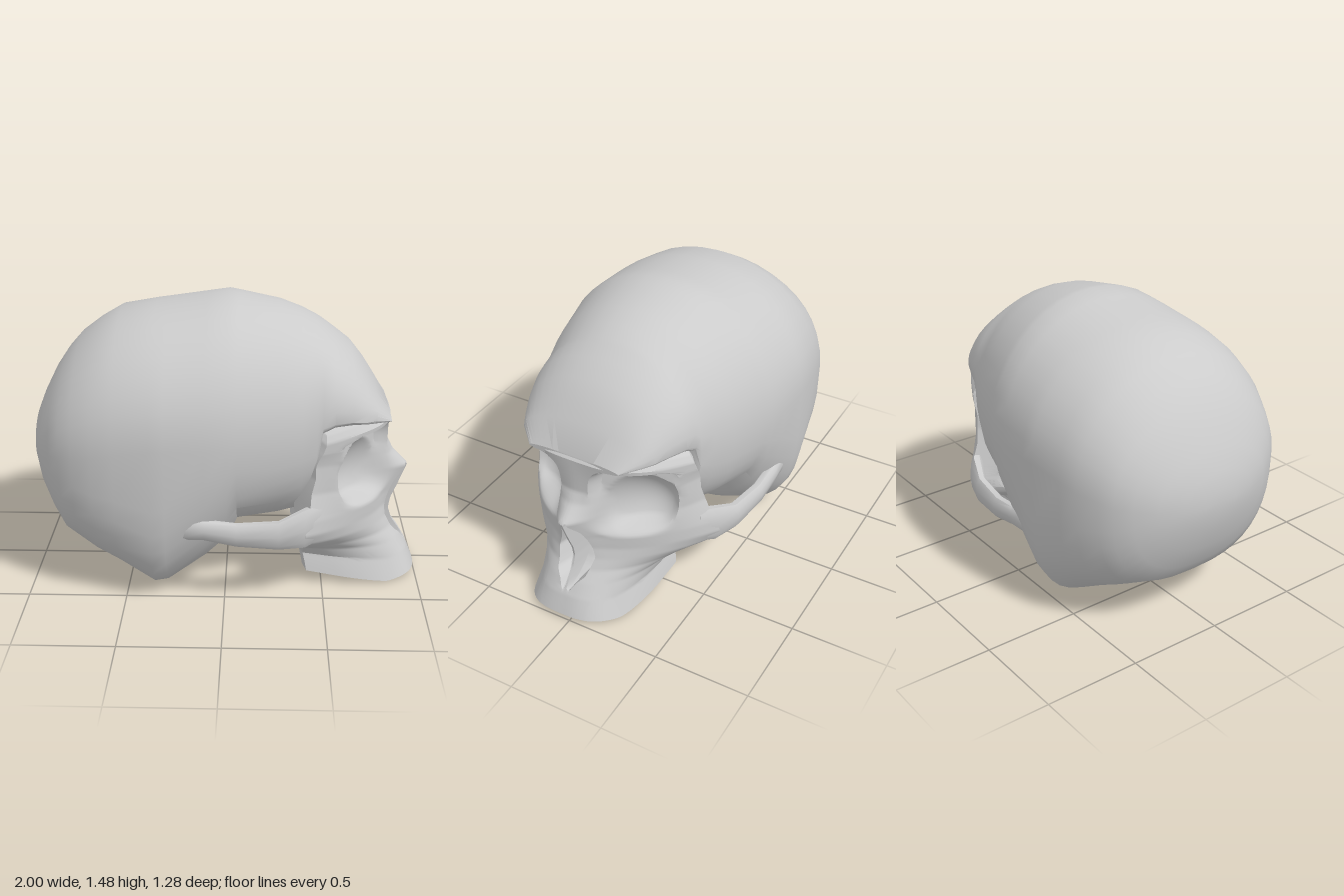
import * as THREE from 'three';
import { toCreasedNormals } from 'three/addons/utils/BufferGeometryUtils.js';

const smooth = THREE.MathUtils.smoothstep;
const spow = (v, e) => Math.sign(v) * Math.pow(Math.abs(v), e);

// Linear lookup in a table of rows sorted by their first value
function rowAt(table, key) {
  let i = 0;
  while (i < table.length - 2 && key > table[i + 1][0]) i++;
  const a = table[i], b = table[i + 1];
  const t = THREE.MathUtils.clamp((key - a[0]) / (b[0] - a[0]), 0, 1);
  return a.map((v, k) => v + (b[k] - v) * t);
}

const centre = ring => [0, 1, 2].map(k => ring.reduce((s, p) => s + p[k], 0) / ring.length);

// Skin over closed rings, capped at both ends; the face drifts slightly to +z
function loft(rings, name, crease) {
  const n = rings[0].length;
  const collapse = r => { const c = centre(r); return r.map(() => c); };
  const all = [collapse(rings[0]), ...rings, collapse(rings[rings.length - 1])];
  const pos = [], idx = [];
  for (const ring of all) for (const [x, y, z] of ring) {
    pos.push(x, y, z + 0.055 * Math.pow(THREE.MathUtils.clamp(x, 0, 1), 1.3));
  }
  for (let i = 0; i < all.length - 1; i++) for (let j = 0; j < n; j++) {
    const k = (j + 1) % n;
    const a = i * n + j, b = a + n, c = (i + 1) * n + k, d = i * n + k;
    if (i < all.length - 2) idx.push(a, b, c, ...(i > 0 ? [a, c, d] : []));
    else idx.push(a, b, d);
  }
  const geo = new THREE.BufferGeometry();
  geo.setAttribute('position', new THREE.Float32BufferAttribute(pos, 3));
  geo.setIndex(idx);
  const mat = new THREE.MeshStandardMaterial({ color: 0xcccccc, side: THREE.DoubleSide });
  const mesh = new THREE.Mesh(toCreasedNormals(geo, crease), mat);
  mesh.name = name;
  return mesh;
}

// Braincase sections: x, top, widest height, bottom, half width, lower exponent
const CRANIUM = [
  [-1.00, 0.78, 0.71, 0.66, 0.09, 2],
  [-0.98, 0.87, 0.72, 0.57, 0.21, 2],
  [-0.94, 0.97, 0.73, 0.45, 0.33, 2.2],
  [-0.88, 1.09, 0.75, 0.33, 0.43, 2.4],
  [-0.82, 1.18, 0.76, 0.25, 0.50, 2.7],
  [-0.75, 1.26, 0.78, 0.215, 0.54, 2.9],
  [-0.65, 1.335, 0.80, 0.165, 0.59, 3.2],
  [-0.54, 1.40, 0.82, 0.11, 0.61, 3.4],
  [-0.36, 1.43, 0.85, 0.01, 0.64, 3.8],
  [-0.29, 1.44, 0.85, 0.02, 0.64, 3.7],
  [-0.10, 1.47, 0.85, 0.12, 0.63, 2.7],
  [0.01, 1.488, 0.85, 0.21, 0.615, 2.4],
  [0.06, 1.48, 0.85, 0.33, 0.60, 2.5],
  [0.27, 1.44, 0.85, 0.36, 0.54, 2.5],
  [0.38, 1.40, 0.86, 0.38, 0.495, 2.4],
  [0.45, 1.365, 0.88, 0.48, 0.465, 2.6],
  [0.48, 1.345, 0.92, 0.84, 0.455, 2.2],
  [0.54, 1.30, 0.94, 0.87, 0.44, 2],
  [0.63, 1.23, 0.94, 0.88, 0.405, 2],
  [0.70, 1.14, 0.93, 0.88, 0.37, 2],
  [0.75, 1.06, 0.93, 0.88, 0.34, 2.2],
  [0.83, 0.92, 0.90, 0.88, 0.25, 2.2],
];

function cranium() {
  const rings = CRANIUM.map(([x, top, mid, bottom, w, low]) =>
    Array.from({ length: 40 }, (_, j) => {
      const t = j / 40 * Math.PI * 2, c = Math.cos(t), s = Math.sin(t);
      const e = s > 0 ? 2 / 2.05 : 2 / low;
      return [x, mid + spow(s, e) * (s > 0 ? top - mid : mid - bottom), w * spow(c, e)];
    }));
  return loft(rings, 'cranium', 0.55);
}

// Face rows: y, front x, side x, half width, curve power, roundness, back x, nose ridge
const FACE = [
  [0.01, 1.00, 0.42, 0.31, 3.0, 0.35, 0.40, 0],
  [0.12, 0.96, 0.40, 0.29, 2.8, 0.40, 0.38, 0],
  [0.20, 0.92, 0.40, 0.33, 2.4, 0.55, 0.35, 0],
  [0.26, 0.88, 0.40, 0.42, 2.1, 0.80, 0.34, 0],
  [0.32, 0.85, 0.41, 0.51, 2.0, 0.95, 0.35, 0.01],
  [0.38, 0.83, 0.40, 0.55, 2.0, 1, 0.36, 0.04],
  [0.45, 0.82, 0.42, 0.53, 2.2, 1, 0.35, 0.08],
  [0.58, 0.82, 0.43, 0.48, 2.8, 1, 0.34, 0.13],
  [0.66, 0.82, 0.45, 0.465, 3.3, 1, 0.34, 0.05],
  [0.72, 0.82, 0.45, 0.46, 3.5, 1, 0.34, 0.02],
  [0.82, 0.83, 0.48, 0.46, 3.5, 1, 0.36, 0.01],
  [0.90, 0.84, 0.50, 0.455, 3.5, 1, 0.38, 0],
  [0.94, 0.805, 0.50, 0.43, 3.5, 1, 0.40, 0],
  [0.98, 0.72, 0.48, 0.36, 3.5, 1, 0.40, 0],
];
// Nasal opening: y, half width, depth
const NOSTRIL = [
  [0.14, 0.02, 0], [0.19, 0.045, 0.07], [0.23, 0.08, 0.1], [0.33, 0.105, 0.12],
  [0.5, 0.06, 0.12], [0.56, 0.025, 0.1], [0.58, 0.02, 0],
];
const SOCKET = { y: 0.665, z: 0.265, h: 0.215, w: 0.19 };

function faceDepth(y, z, u, [, front, side, , p, q, , ridge]) {
  const az = Math.abs(z);
  let x = side + (front - side) * Math.pow(Math.max(0, 1 - Math.pow(u, p)), q);
  x += ridge * Math.exp(-Math.pow(z / 0.085, 2));
  // eye socket: sharp under the brow, soft toward the cheek, with a round bowl inside
  const dy = (y - SOCKET.y) / SOCKET.h, dz = (az - SOCKET.z) / SOCKET.w;
  const start = THREE.MathUtils.lerp(0.65, 0.88, smooth(dy, -0.3, 0.6));
  const mask = 1 - smooth(Math.pow(dy ** 4 + dz ** 4, 0.25), start, 1);
  const r = Math.hypot((y - 0.63) / 0.18, (az - 0.272) / 0.16);
  const floor = 0.56 + 0.2 * (0.45 - az) / 0.35 - 0.1 * Math.max(0, 1 - r * r);
  x += mask * (Math.min(x, floor) - x);
  // nasal opening on both sides of the septum
  const [, half, depth] = rowAt(NOSTRIL, y);
  return x - depth * (1 - smooth(az, half * 0.8, half)) * smooth(az, 0.005, 0.015);
}

// Column positions of one half row, packed along the rims of nose and socket
function columns(y, w) {
  const half = rowAt(NOSTRIL, y)[1];
  const dy = (y - SOCKET.y) / SOCKET.h;
  const reach = SOCKET.w * Math.pow(Math.max(0.25, 1 - dy ** 4), 0.25);
  const outer = Math.min(SOCKET.z + reach, 0.97 * w), inner = SOCKET.z - reach;
  const spans = [
    [0, 0.005, 1], [0.005, 0.015, 1], [0.015, half * 0.8, 3], [half * 0.8, half, 2],
    [half, inner, 3], [inner, outer, 26], [outer, w, 3],
  ];
  const out = [];
  for (const [a, b, n] of spans) for (let i = 1; i <= n; i++) out.push(a + (b - a) * i / n);
  return out;
}

function face() {
  const rows = 96, rings = [];
  for (let i = 0; i <= rows; i++) {
    const y = 0.98 - 0.97 * i / rows, row = rowAt(FACE, y);
    const w = row[3], back = row[6], half = columns(y, w);
    const ring = [...half.slice().reverse(), 0, ...half.map(z => -z)].map(z => {
      const u = Math.abs(z) / w;
      // the brow dips at its outer end
      const dip = 0.06 * Math.pow(u, 4) * smooth(y, 0.72, 0.9);
      return [faceDepth(y, z, u, row), y - dip, z];
    });
    for (let j = -3; j <= 3; j++) ring.push([back, y, w * 0.75 * j / 3]);
    // the tooth line rises toward the back and slightly at the front
    const tilt = 0.16 * (1 - smooth(y, 0.02, 0.3));
    for (const p of ring) p[1] += tilt * Math.abs(0.85 - p[0]);
    rings.push(ring);
  }
  // hollow palate inside the tooth ridge
  const edge = rings[rows], cx = 0.68;
  for (const [k, up] of [[0.84, 0], [0.74, 0.06], [0.4, 0.09]]) {
    rings.push(edge.map(([x, y, z]) => [cx + (x - cx) * k, y + up, z * k]));
  }
  return loft(rings, 'face', 0.6);
}

// Cheek arch stations: x, top, bottom, z, half thickness
const ARCH = [
  [-0.36, 0.46, 0.40, 0.53, 0.03],
  [-0.22, 0.50, 0.36, 0.555, 0.045],
  [-0.10, 0.475, 0.37, 0.575, 0.035],
  [0.06, 0.455, 0.335, 0.57, 0.035],
  [0.27, 0.465, 0.315, 0.55, 0.035],
  [0.40, 0.52, 0.31, 0.505, 0.045],
  [0.48, 0.53, 0.33, 0.45, 0.04],
];

function cheekArch(sign, name) {
  const rings = ARCH.map(([x, top, bottom, z, h]) =>
    Array.from({ length: 10 }, (_, j) => {
      const t = j / 10 * Math.PI * 2;
      return [x, (top + bottom) / 2 + spow(Math.sin(t), 0.8) * (top - bottom) / 2,
        sign * (z + h * spow(Math.cos(t), 0.8))];
    }));
  return loft(sign > 0 ? rings : rings.reverse(), name, 0.8);
}

export function createModel() {
  const group = new THREE.Group();
  group.name = 'skull';
  group.add(cranium(), face(), cheekArch(1, 'cheekArchNear'), cheekArch(-1, 'cheekArchFar'));
  return group;
}
